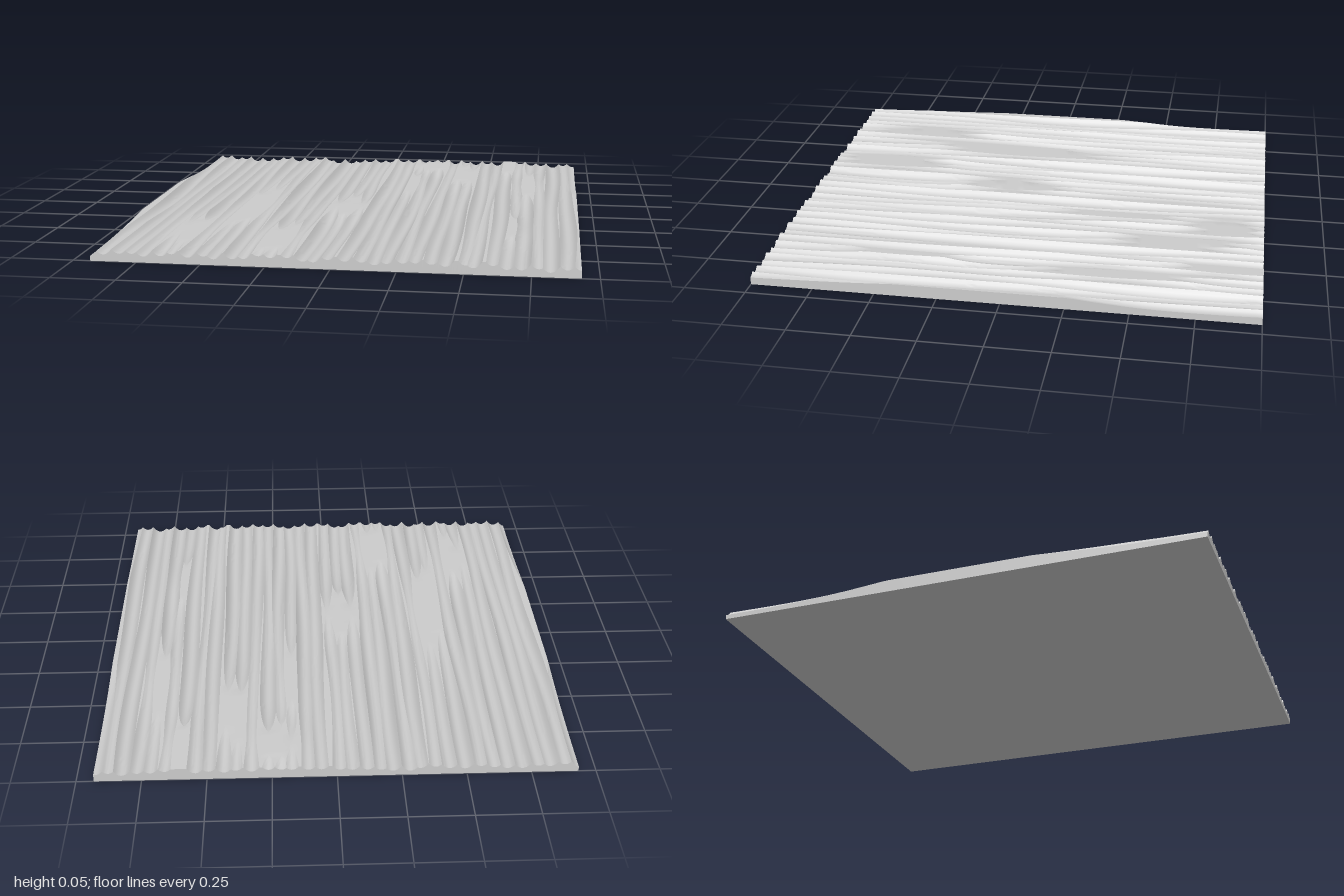
import * as THREE from 'three';
import { toCreasedNormals } from 'three/addons/utils/BufferGeometryUtils.js';

const HALF_X = 0.932, HALF_Z = 1, TOP = 0.05;
const GROOVES = 35, STEPS = 7, ROWS = 80, CURVE = 21;

// Uncarved patches of the top: x, z, radius in x, radius in z
const FLATS = [
  [-0.45, 0.18, 0.07, 0.32], [-0.62, 0.62, 0.05, 0.26], [0.71, -0.4, 0.06, 0.3],
  [0.23, -0.85, 0.09, 0.16], [-0.06, 0.14, 0.08, 0.2], [-0.25, 0.72, 0.07, 0.26],
  [0.4, -0.62, 0.05, 0.24], [0.61, -0.85, 0.04, 0.16], [0.17, -0.42, 0.04, 0.24],
  [0.68, 0.45, 0.03, 0.18], [-0.93, 0, 0.03, 0.4], [0.93, 0.02, 0.03, 0.4],
];

function seeded(seed) {
  return () => {
    seed = (seed * 16807) % 2147483647;
    return seed / 2147483647;
  };
}

// Gouge strokes that wander slightly and vary in depth along z
function makeGrooves() {
  const rand = seeded(4711);
  return Array.from({ length: GROOVES }, (_, i) => {
    const x0 = -HALF_X + (2 * HALF_X * i) / (GROOVES - 1) + (rand() - 0.5) * 0.018;
    const [p, q, s] = [rand() * 6.28, rand() * 6.28, rand() * 6.28];
    const depth = 0.018 + rand() * 0.008;
    const f = 1.5 + rand() * 1.5;
    return (z) => {
      const x = x0 + 0.006 * Math.sin(f * z + p) + 0.003 * Math.sin(5 * z + q);
      let d = depth + 0.007 * Math.sin(f * 1.4 * z + s);
      for (const [fx, fz, rx, rz] of FLATS)
        d -= 0.04 * Math.exp(-(((x - fx) / rx) ** 2) - ((z - fz) / rz) ** 2);
      d = Math.max(d, 0);
      return { x, floor: TOP - d, w: Math.sqrt(d / CURVE) };
    };
  });
}

// Cross-section at z, with columns following the ridges between grooves
function section(grooves, z) {
  const g = grooves.map((f) => f(z));
  const height = (x) => g.reduce((y, o) => Math.min(y, o.floor + CURVE * (x - o.x) ** 2), TOP);
  const ridge = (a, b) => (a.x + b.x) / 2 + (b.floor - a.floor) / (2 * CURVE * (b.x - a.x));
  const xs = [-HALF_X];
  g.forEach((o, i) => {
    let left = o.x - o.w, right = o.x + o.w;
    if (i > 0) left = Math.min(Math.max(left, ridge(g[i - 1], o)), right);
    if (i < g.length - 1) right = Math.max(Math.min(right, ridge(o, g[i + 1])), left);
    for (let k = 0; k <= STEPS; k++) xs.push(left + ((right - left) * k) / STEPS);
  });
  xs.push(HALF_X);
  let last = -HALF_X;
  return xs.map((x) => {
    last = Math.min(HALF_X, Math.max(last, x));
    return [last, height(last)];
  });
}

function slabGeometry() {
  const grooves = makeGrooves();
  const pos = [], index = [];
  const quad = (a, b, c, d) => index.push(a, b, c, c, b, d);

  // Closed rings from back to front: carved top, side walls, flat underside
  let n = 0;
  for (let j = 0; j <= ROWS; j++) {
    const z = -HALF_Z + (2 * HALF_Z * j) / ROWS;
    const ring = [[-HALF_X, 0], ...section(grooves, z), [HALF_X, 0]];
    n = ring.length;
    ring.forEach(([x, y]) => pos.push(x, y, z));
  }
  for (let j = 0; j < ROWS; j++)
    for (let i = 0; i < n; i++) {
      const a = j * n + i, c = j * n + ((i + 1) % n);
      quad(a, a + n, c, c + n);
    }

  // End walls under the first and last profile
  for (const j of [0, ROWS]) {
    const base = pos.length / 3;
    for (let i = 0; i < n; i++) pos.push(pos[(j * n + i) * 3], 0, j ? HALF_Z : -HALF_Z);
    for (let i = 0; i < n - 1; i++) {
      const t = j * n + i, b = base + i;
      if (j) quad(t, b, t + 1, b + 1);
      else quad(t + 1, b + 1, t, b);
    }
  }

  const geo = new THREE.BufferGeometry();
  geo.setAttribute('position', new THREE.Float32BufferAttribute(pos, 3));
  geo.setIndex(index);
  return toCreasedNormals(geo, 0.45);
}

export function createModel() {
  const group = new THREE.Group();
  group.name = 'carvedPanel';
  const slab = new THREE.Mesh(slabGeometry(), new THREE.MeshStandardMaterial({ color: 0xcccccc }));
  slab.name = 'groovedSlab';
  group.add(slab);
  return group;
}
